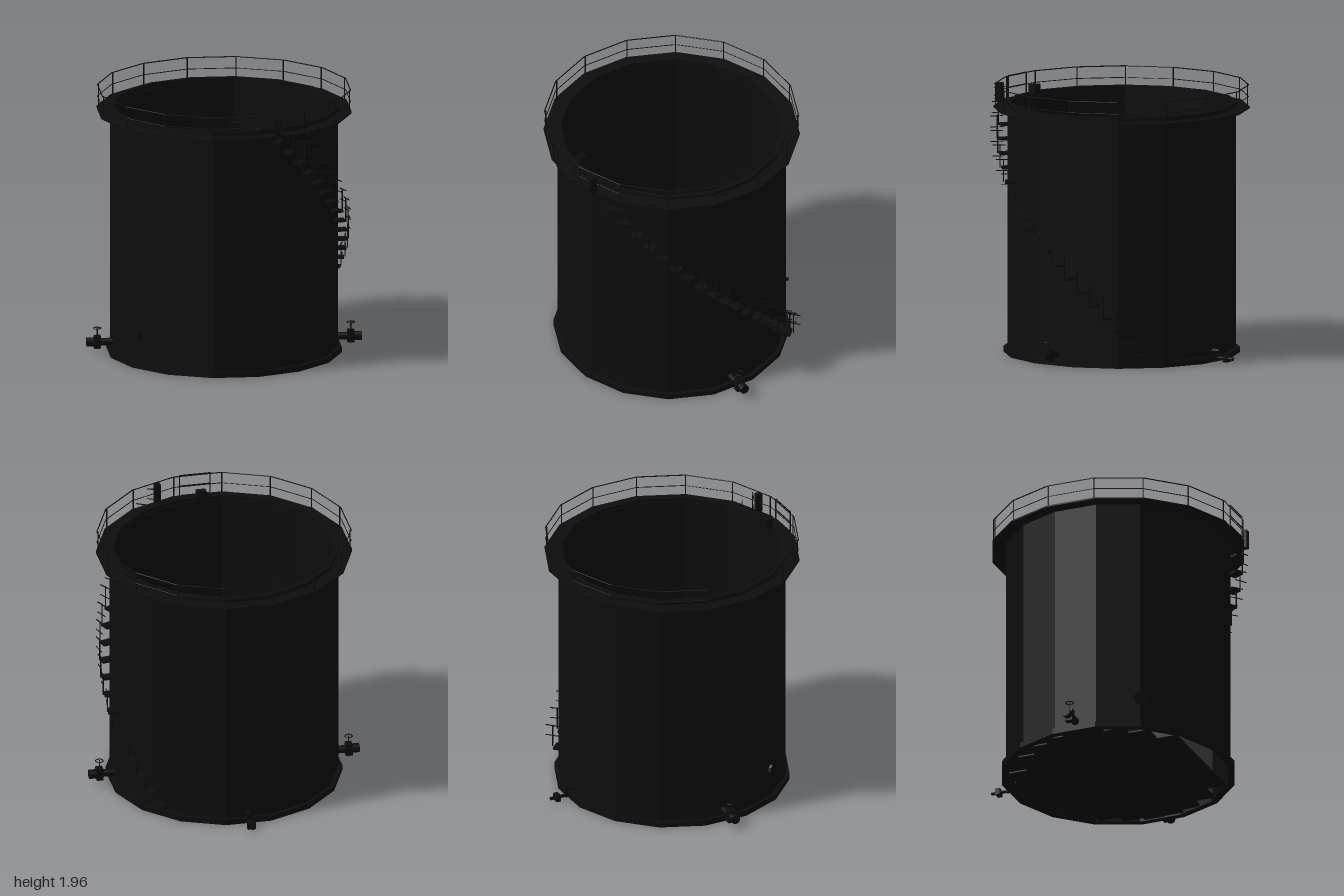
import * as THREE from 'three';

const black = new THREE.MeshStandardMaterial({ color: 0x0d0d0d, flatShading: true, side: THREE.DoubleSide });
black.name = 'black steel';

const SIDES = 16;
const STEP = (Math.PI * 2) / SIDES;
const FLAT = Math.cos(STEP / 2); // flat radius to corner radius

export function createModel() {
  const model = new THREE.Group();
  model.name = 'storageTank';
  const tank = new THREE.Group();
  tank.name = 'tank';
  tank.position.z = 0.035;
  model.add(tank);

  const add = (parent, name, geo, x = 0, y = 0, z = 0) => {
    const m = new THREE.Mesh(geo, black);
    m.name = name;
    m.position.set(x, y, z);
    parent.add(m);
    return m;
  };
  const box = (parent, name, w, h, d, x, y, z) => add(parent, name, new THREE.BoxGeometry(w, h, d), x, y, z);
  const rod = (parent, name, a, b, r, sides = 8) => {
    const m = add(parent, name, new THREE.CylinderGeometry(r, r, a.distanceTo(b), sides));
    m.position.copy(a).lerp(b, 0.5);
    m.quaternion.setFromUnitVectors(new THREE.Vector3(0, 1, 0), b.clone().sub(a).normalize());
    return m;
  };
  const v = (x, y, z) => new THREE.Vector3(x, y, z);
  // Sixteen-sided ring of rectangular section, sized by its flats
  const ring = (name, inner, outer, y0, y1) => {
    const pts = [[inner, y0], [outer, y0], [outer, y1], [inner, y1], [inner, y0]]
      .map(([r, y]) => new THREE.Vector2(r / FLAT, y));
    return add(tank, name, new THREE.LatheGeometry(pts, SIDES, STEP / 2));
  };

  // Shell, foot ring, rim and walkway
  ring('shell', 0.803, 0.811, 0, 1.82);
  ring('footRing', 0.79, 0.84, 0, 0.04);
  ring('rim', 0.785, 0.82, 1.805, 1.83);
  ring('walkway', 0.79, 0.91, 1.784, 1.796);

  // Floor laid in rows of plates
  [0.32, 0.55, 0.68, 0.755, 0.79, 0.78, 0.73, 0.63, 0.47].forEach((w, i) =>
    box(model, 'floorPlate', w * 2, 0.01, 0.154, 0, 0.012, -0.622 + i * 0.1535));

  // Guard rail around the walkway
  const corner = (i, r, y) => v(Math.sin((i + 0.5) * STEP) * r, y, Math.cos((i + 0.5) * STEP) * r);
  for (let i = 0; i < SIDES; i++) {
    rod(tank, 'railPost', corner(i, 0.912, 1.79), corner(i, 0.912, 1.957), 0.005, 6);
    for (const y of [1.87, 1.955])
      rod(tank, 'guardRail', corner(i, 0.92, y), corner(i + 1, 0.92, y), y > 1.9 ? 0.004 : 0.003, 6);
  }

  // Small landing at the front
  box(model, 'landing', 0.23, 0.01, 0.03, 0.015, 1.79, 0.94);
  for (const x of [-0.095, 0.13]) box(model, 'landingPost', 0.007, 0.165, 0.007, x, 1.873, 0.95);
  for (const y of [1.87, 1.955]) box(model, 'landingRail', 0.23, 0.006, 0.006, 0.015, y, 0.95);

  // Hatch and gauge box on top
  box(model, 'hatch', 0.07, 0.07, 0.055, 0, 1.855, 0.81);
  box(model, 'gaugeBox', 0.045, 0.14, 0.045, 0.305, 1.86, 0.9);

  // Stair winding up the side
  const stairs = new THREE.Group();
  stairs.name = 'stairs';
  tank.add(stairs);
  const COUNT = 19;
  for (let i = 0; i < COUNT; i++) {
    const t = i / (COUNT - 1);
    const a = THREE.MathUtils.degToRad(-46 + 114 * t);
    const y = 0.09 + 1.65 * t;
    const place = (name, w, h, d, r, dy) => {
      box(stairs, name, w, h, d, Math.cos(a) * r, y + dy, Math.sin(a) * r).rotation.y = a;
    };
    place('tread', 0.085, 0.018, 0.07, 0.85, 0);
    place('stairPost', 0.007, 0.17, 0.007, 0.9, 0.085);
    place('stairRail', 0.006, 0.006, 0.095, 0.905, 0.165);
    place('stairMidRail', 0.005, 0.005, 0.095, 0.905, 0.085);
  }

  // Side outlets with valve and hand wheel
  for (const s of [1, -1]) {
    const outlet = new THREE.Group();
    outlet.name = s > 0 ? 'leftOutlet' : 'rightOutlet';
    tank.add(outlet);
    rod(outlet, 'pipe', v(s * 0.79, 0.08, 0), v(s * 0.96, 0.08, 0), 0.028, 12);
    rod(outlet, 'flange', v(s * 0.95, 0.08, 0), v(s * 1, 0.08, 0), 0.034, 12);
    box(outlet, 'valve', 0.05, 0.09, 0.06, s * 0.922, 0.08, 0);
    rod(outlet, 'stem', v(s * 0.922, 0.1, 0), v(s * 0.922, 0.185, 0), 0.005, 6);
    const wheel = add(outlet, 'handWheel', new THREE.TorusGeometry(0.028, 0.004, 5, 12), s * 0.922, 0.182, 0);
    wheel.rotation.x = Math.PI / 2;
  }

  // Drain at the back
  const drain = new THREE.Group();
  drain.name = 'drain';
  model.add(drain);
  rod(drain, 'drainElbow', v(0, 0.08, -0.76), v(0, 0.08, -0.84), 0.016);
  rod(drain, 'drainDrop', v(0, 0.095, -0.83), v(0, 0.018, -0.83), 0.014);
  rod(drain, 'drainPipe', v(0, 0.03, -0.82), v(0, 0.03, -0.957), 0.013);
  box(drain, 'drainValve', 0.06, 0.05, 0.035, 0, 0.03, -0.902);

  // Access cover low on the shell
  const dir = v(-0.83, 0, 0.556).normalize();
  const at = (r) => dir.clone().multiplyScalar(r).setY(0.24);
  rod(tank, 'accessCover', at(0.79), at(0.84), 0.05, 12);

  return model;
}
